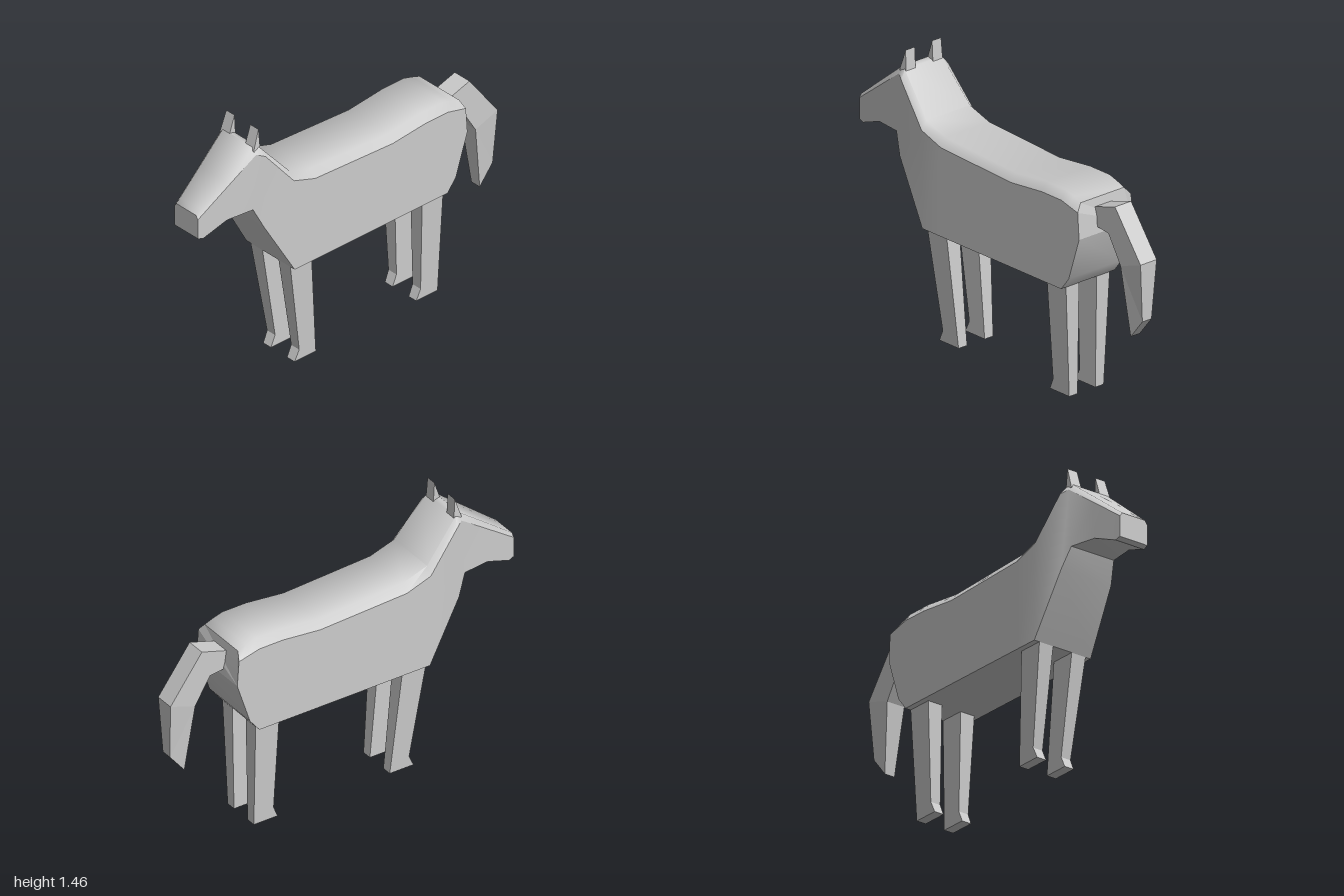
import * as THREE from 'three';
import { toCreasedNormals } from 'three/addons/utils/BufferGeometryUtils.js';

const material = new THREE.MeshStandardMaterial({ color: 0xcccccc });

// Side profile extruded across z; range(x, y) gives the [near, far] z limits
function slab(name, profile, range) {
  const shape = new THREE.Shape(profile.map(([x, y]) => new THREE.Vector2(x, y)));
  const geo = new THREE.ExtrudeGeometry(shape, { depth: 1, bevelEnabled: false });
  const p = geo.attributes.position;
  for (let i = 0; i < p.count; i++) {
    const [a, b] = range(p.getX(i), p.getY(i));
    p.setZ(i, a + (b - a) * p.getZ(i));
  }
  geo.computeVertexNormals();
  const mesh = new THREE.Mesh(geo, material);
  mesh.name = name;
  return mesh;
}

// Skin over part of each ring, smooth within the strip up to the crease angle
function strip(name, rings, columns, crease) {
  const pos = [];
  for (let i = 0; i < rings.length - 1; i++) {
    for (let k = 0; k < columns.length - 1; k++) {
      const a = rings[i][columns[k]], b = rings[i + 1][columns[k]];
      const c = rings[i + 1][columns[k + 1]], d = rings[i][columns[k + 1]];
      pos.push(...a, ...b, ...c, ...a, ...c, ...d);
    }
  }
  return skin(name, pos, crease);
}

function cap(name, ring) {
  const pos = [];
  for (let k = 1; k < ring.length - 1; k++) pos.push(...ring[0], ...ring[k], ...ring[k + 1]);
  return skin(name, pos, 0.1);
}

function skin(name, pos, crease) {
  const geo = new THREE.BufferGeometry();
  geo.setAttribute('position', new THREE.Float32BufferAttribute(pos, 3));
  geo.computeVertexNormals();
  const mesh = new THREE.Mesh(toCreasedNormals(geo, crease), material);
  mesh.name = name;
  return mesh;
}

export function createModel() {
  const model = new THREE.Group();
  model.name = 'horse';

  // Body stations, muzzle to rump:
  // topX, topY, shoulderX, shoulderY, bottomX, bottomY, half width, half width of top
  const stations = [
    [-1, 1.1, -1, 1.08, -1, 0.97, 0.085, 0.07],
    [-0.97, 1.123, -0.97, 1.102, -0.97, 0.96, 0.089, 0.073],
    [-0.83, 1.233, -0.83, 1.205, -0.83, 1.015, 0.108, 0.088],
    [-0.66, 1.365, -0.66, 1.33, -0.68, 1.02, 0.132, 0.108],
    [-0.63, 1.357, -0.62, 1.315, -0.63, 0.91, 0.155, 0.122],
    [-0.45, 1.15, -0.45, 1.108, -0.445, 0.59, 0.175, 0.142],
    [-0.31, 1.105, -0.31, 1.06, -0.31, 0.59, 0.175, 0.143],
    [0.2, 1.08, 0.2, 1.038, 0.2, 0.59, 0.175, 0.143],
    [0.42, 1.104, 0.42, 1.06, 0.42, 0.59, 0.175, 0.143],
    [0.56, 1.104, 0.56, 1.06, 0.56, 0.59, 0.175, 0.143],
    [0.615, 1.088, 0.62, 1.045, 0.615, 0.66, 0.175, 0.143],
    [0.665, 1.07, 0.68, 1.03, 0.69, 0.89, 0.175, 0.143],
  ];
  const rings = stations.map(([tx, ty, sx, sy, bx, by, w, t]) => [
    [bx, by, w], [sx, sy, w], [tx, ty, t], [tx, ty, -t], [sx, sy, -w], [bx, by, -w],
  ]);
  const body = new THREE.Group();
  body.name = 'body';
  body.add(
    strip('back', rings, [1, 2, 3, 4], 1),
    strip('leftFlank', rings, [0, 1], 0.6),
    strip('rightFlank', rings, [4, 5], 0.6),
    strip('belly', rings, [5, 0], 0.6),
    cap('muzzle', rings[0]),
    cap('rump', [...rings[rings.length - 1]].reverse()),
  );
  model.add(body);

  // Mirrored legs and ears
  const frontLeg = [[-0.39, 0], [-0.25, 0], [-0.256, 0.06], [-0.305, 0.59], [-0.445, 0.59], [-0.362, 0.06]];
  const hindLeg = [[0.41, 0], [0.55, 0], [0.56, 0.59], [0.422, 0.59], [0.436, 0.06]];
  const ear = [[-0.668, 1.345], [-0.622, 1.32], [-0.63, 1.458]];
  const mirrored = (side, inner, outer) => (side > 0 ? [inner, outer] : [-outer, -inner]);
  for (const [label, side] of [['Left', 1], ['Right', -1]]) {
    const legRange = (x, y) => mirrored(side, 0.058, 0.113 + 0.03 * y / 0.59);
    model.add(
      slab('front' + label + 'Leg', frontLeg, legRange),
      slab('hind' + label + 'Leg', hindLeg, legRange),
      slab(label.toLowerCase() + 'Ear', ear, (x, y) => mirrored(side, 0.057, y > 1.4 ? 0.116 : 0.122)),
    );
  }

  // Tail, tapering in width below its bend
  const tail = [
    [0.66, 1.022], [0.68, 0.925], [0.767, 0.915], [0.855, 0.77],
    [0.903, 0.405], [0.988, 0.51], [1, 0.82], [0.815, 1.07],
  ];
  model.add(slab('tail', tail, (x, y) => {
    const h = THREE.MathUtils.mapLinear(THREE.MathUtils.clamp(y, 0.51, 0.77), 0.51, 0.77, 0.03, 0.053);
    return [-h, h];
  }));

  return model;
}
